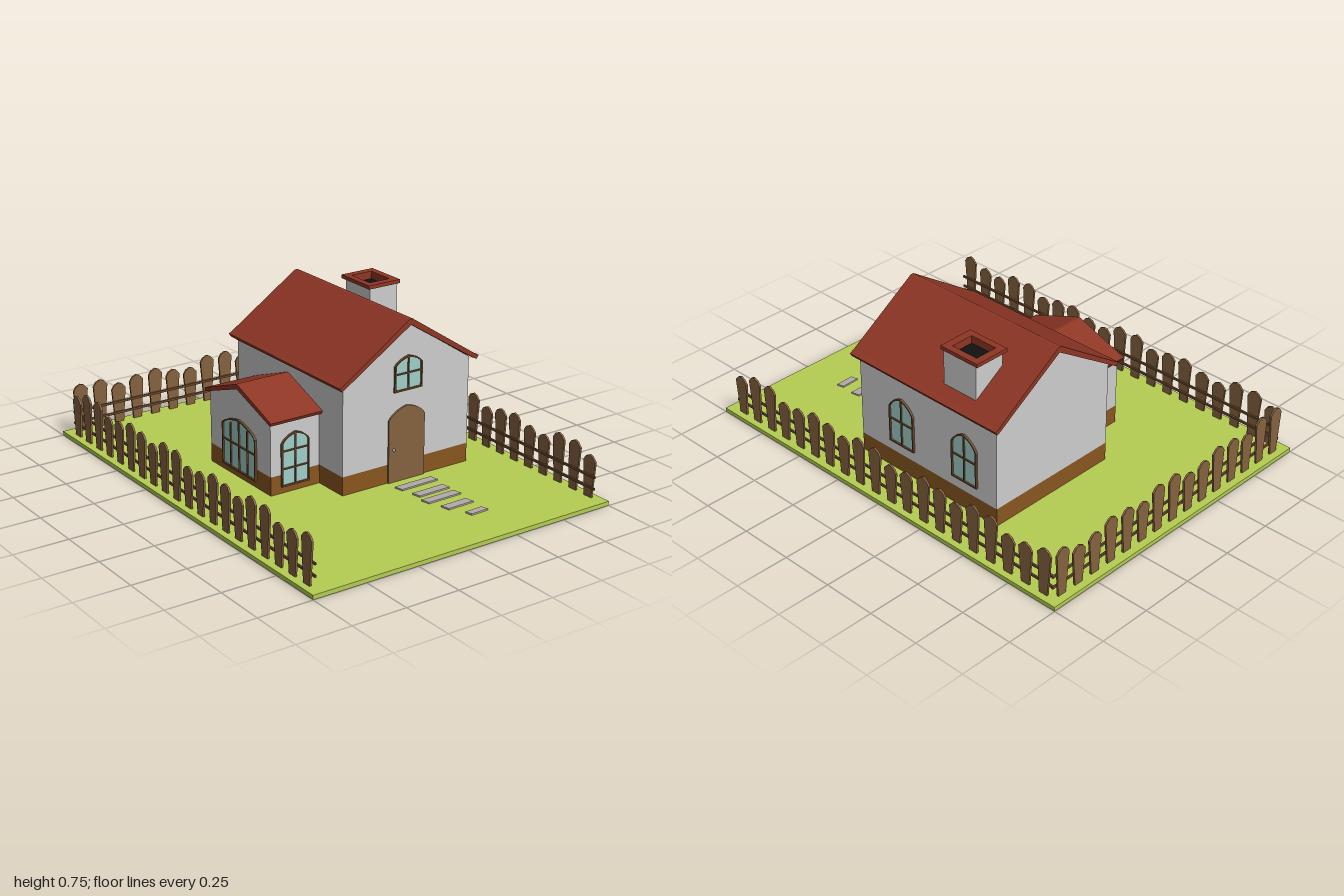
import * as THREE from 'three';

const mat = (name, color) => {
  const m = new THREE.MeshStandardMaterial({ color });
  m.name = name;
  return m;
};

export function createModel() {
  const M = {
    grass: mat('grass', 0xb5cc52),
    wall: mat('plaster', 0xcdcdcd),
    base: mat('base brown', 0x88561f),
    roof: mat('roof red', 0x8e3624),
    wood: mat('wood', 0x85623f),
    frame: mat('frame brown', 0x6b4a2c),
    glass: mat('glass', 0xa0cec8),
    stone: mat('stone', 0xb3aaa8),
    soot: mat('soot', 0x111111),
  };
  const model = new THREE.Group();
  model.name = 'cottage';

  const add = (parent, name, geo, material, x = 0, y = 0, z = 0) => {
    const mesh = new THREE.Mesh(geo, material);
    mesh.name = name;
    mesh.position.set(x, y, z);
    parent.add(mesh);
    return mesh;
  };
  // box given by its limits on each axis
  const box = (parent, name, material, x0, x1, y0, y1, z0, z1) =>
    add(parent, name, new THREE.BoxGeometry(x1 - x0, y1 - y0, z1 - z0), material,
      (x0 + x1) / 2, (y0 + y1) / 2, (z0 + z1) / 2);
  const poly = (pts) => new THREE.Shape(pts.map((p) => new THREE.Vector2(...p)));
  const extrude = (shape, depth) =>
    new THREE.ExtrudeGeometry(shape, { depth, bevelEnabled: false, curveSegments: 6 });
  const group = (name, x = 0, y = 0, z = 0, turn = 0) => {
    const g = new THREE.Group();
    g.name = name;
    g.position.set(x, y, z);
    g.rotation.y = turn;
    model.add(g);
    return g;
  };

  // Arched outline standing on y = inset
  const arch = (w, h, rise, inset = 0) => {
    const a = w / 2 - inset, top = h - inset, s = h - rise;
    const shape = new THREE.Shape();
    shape.moveTo(-a, inset);
    shape.lineTo(a, inset);
    shape.lineTo(a, s);
    shape.quadraticCurveTo(a * 0.75, s + (top - s) * 0.7, 0, top);
    shape.quadraticCurveTo(-a * 0.75, s + (top - s) * 0.7, -a, s);
    shape.closePath();
    return shape;
  };

  // Arched window facing local +z: slim frame, pane and glazing bars
  const addWindow = (name, w, h, rise, x, y, z, turn, columns, rows) => {
    const g = group(name, x, y, z, turn);
    const ring = arch(w, h, rise);
    ring.holes.push(arch(w, h, rise, 0.007));
    add(g, 'windowFrame', extrude(ring, 0.014), M.frame, 0, 0, -0.004);
    add(g, 'windowPane', extrude(arch(w, h, rise, 0.004), 0.005), M.glass, 0, 0, -0.002);
    for (let i = 1; i < columns; i++) {
      const bx = -w / 2 + (w * i) / columns;
      const top = h - 0.006 - rise * Math.abs(bx * 2 / w);
      box(g, 'uprightBar', M.frame, bx - 0.003, bx + 0.003, 0.004, top, 0, 0.009);
    }
    for (let i = 1; i < rows; i++) {
      const by = (h * i) / rows;
      box(g, 'crossBar', M.frame, -w / 2 + 0.005, w / 2 - 0.005, by - 0.003, by + 0.003, 0, 0.009);
    }
  };

  // Ground and stepping stones
  box(model, 'ground', M.grass, -0.75, 0.75, 0.0005, 0.02, -1, 1);
  [[0.10, 0.30, 0.40], [0.12, 0.29, 0.495], [0.11, 0.29, 0.57], [0.14, 0.28, 0.665], [0.185, 0.28, 0.765]]
    .forEach(([x0, x1, z], i) => {
      const s = i === 4 ? 0.018 : 0.022, c = 0.008;
      const g = extrude(poly([[x0 + c, -s], [x1, -s + 0.003], [x1 - c, s], [x0, s - 0.003]]), 0.027);
      g.rotateX(-Math.PI / 2);
      add(model, 'steppingStone', g, M.stone, 0, 0, z);
    });

  // Main house
  const house = group('mainHouse');
  box(house, 'mainBase', M.base, -0.13, 0.535, 0.02, 0.105, -0.48, 0.32);
  add(house, 'mainWalls', extrude(poly([[-0.13, 0.105], [0.535, 0.105], [0.535, 0.507], [0.205, 0.722], [-0.13, 0.507]]), 0.8),
    M.wall, 0, 0, -0.48);
  const mainRoof = poly([[-0.147, 0.495], [-0.135, 0.503], [0.205, 0.72], [0.545, 0.503], [0.562, 0.495], [0.572, 0.512],
    [0.55, 0.523], [0.213, 0.745], [0.197, 0.745], [-0.138, 0.523], [-0.158, 0.512]]);
  add(house, 'mainRoof', extrude(mainRoof, 0.85), M.roof, 0, 0, -0.51);

  // Side wing, its profile running across z
  const wing = group('sideWing');
  box(wing, 'wingBase', M.base, -0.377, -0.12, 0.02, 0.105, -0.32, 0.15);
  const alongX = (pts, depth) => extrude(poly(pts), depth).rotateY(-Math.PI / 2);
  add(wing, 'wingWalls', alongX([[-0.32, 0.105], [0.15, 0.105], [0.15, 0.346], [-0.085, 0.436], [-0.32, 0.346]], 0.257),
    M.wall, -0.12, 0, 0);
  add(wing, 'wingRoof', alongX([[-0.338, 0.343], [-0.085, 0.43], [0.168, 0.343], [0.175, 0.358], [-0.08, 0.452], [-0.09, 0.452], [-0.345, 0.358]], 0.265),
    M.roof, -0.125, 0, 0);

  // Chimney with an open cap
  const chimney = group('chimney');
  const square = (x0, x1, z0, z1) => [[x0, -z0], [x0, -z1], [x1, -z1], [x1, -z0]];
  const tube = (name, outer, y, h, material) => {
    const s = poly(outer);
    s.holes.push(new THREE.Path(poly(square(0.375, 0.483, -0.32, -0.185)).getPoints()));
    add(chimney, name, extrude(s, h).rotateX(-Math.PI / 2), material, 0, y, 0);
  };
  tube('chimneyStack', square(0.355, 0.505, -0.337, -0.155), 0.5, 0.2, M.wall);
  tube('chimneyCollar', square(0.356, 0.504, -0.336, -0.156), 0.7, 0.02, M.roof);
  // plaster sleeve around the collar
  for (const [a, b, c, d] of [[0.355, 0.357, -0.337, -0.155], [0.503, 0.505, -0.337, -0.155],
    [0.355, 0.505, -0.337, -0.335], [0.355, 0.505, -0.157, -0.155]]) {
    box(chimney, 'chimneyRim', M.wall, a, b, 0.699, 0.72, c, d);
  }
  tube('chimneyCap', square(0.345, 0.515, -0.355, -0.148), 0.718, 0.017, M.roof);
  box(chimney, 'flue', M.soot, 0.37, 0.488, 0.692, 0.7, -0.325, -0.18);

  // Door
  const door = group('door', 0.2, 0.02, 0.32);
  add(door, 'doorLeaf', extrude(arch(0.19, 0.34, 0.055), 0.012), M.wood, 0, 0, -0.004);
  add(door, 'doorKnob', new THREE.SphereGeometry(0.007, 10, 8), M.stone, -0.07, 0.15, 0.012);

  // Windows
  addWindow('frontWindow', 0.145, 0.155, 0.04, 0.205, 0.427, 0.32, 0, 2, 2);
  addWindow('wingFrontWindow', 0.14, 0.24, 0.045, -0.256, 0.05, 0.15, 0, 2, 3);
  addWindow('wingGableWindow', 0.26, 0.24, 0.05, -0.377, 0.05, -0.085, -Math.PI / 2, 4, 2);
  for (const z of [0.07, -0.3]) {
    addWindow('sideWindow', 0.145, 0.235, 0.06, 0.535, 0.155, z, Math.PI / 2, 2, 2);
  }

  // Picket fence: pickets outside (local -z), two rails inside
  const heights = [0.21, 0.245, 0.215, 0.23, 0.245, 0.205, 0.24];
  const addFence = (name, length, count, x, z, turn) => {
    const g = group(name, x, 0, z, turn);
    const step = (length - 0.09) / (count - 1);
    for (let i = 0; i < count; i++) {
      const h = heights[(i * 3 + count) % heights.length];
      const lean = ((i * 5) % 7 - 3) * 0.001;
      const shape = poly([[-0.02, 0.002], [0.02, 0.002], [0.036 + lean, h - 0.027], [0.018 + lean, h - 0.007],
        [lean, h], [-0.022 + lean, h - 0.01], [-0.035 + lean, h - 0.03]]);
      add(g, 'picket', extrude(shape, 0.009), M.wood, -(length - 0.09) / 2 + i * step, 0, -0.009);
    }
    for (const y of [0.068, 0.12]) {
      box(g, 'rail', M.frame, -length / 2, length / 2, y - 0.005, y + 0.005, 0, 0.008);
    }
  };
  addFence('backFence', 1.43, 15, 0, -0.957, 0);
  addFence('rightFence', 1.91, 20, -0.711, 0, Math.PI / 2);
  addFence('leftFence', 1.91, 20, 0.711, 0, -Math.PI / 2);

  return model;
}
